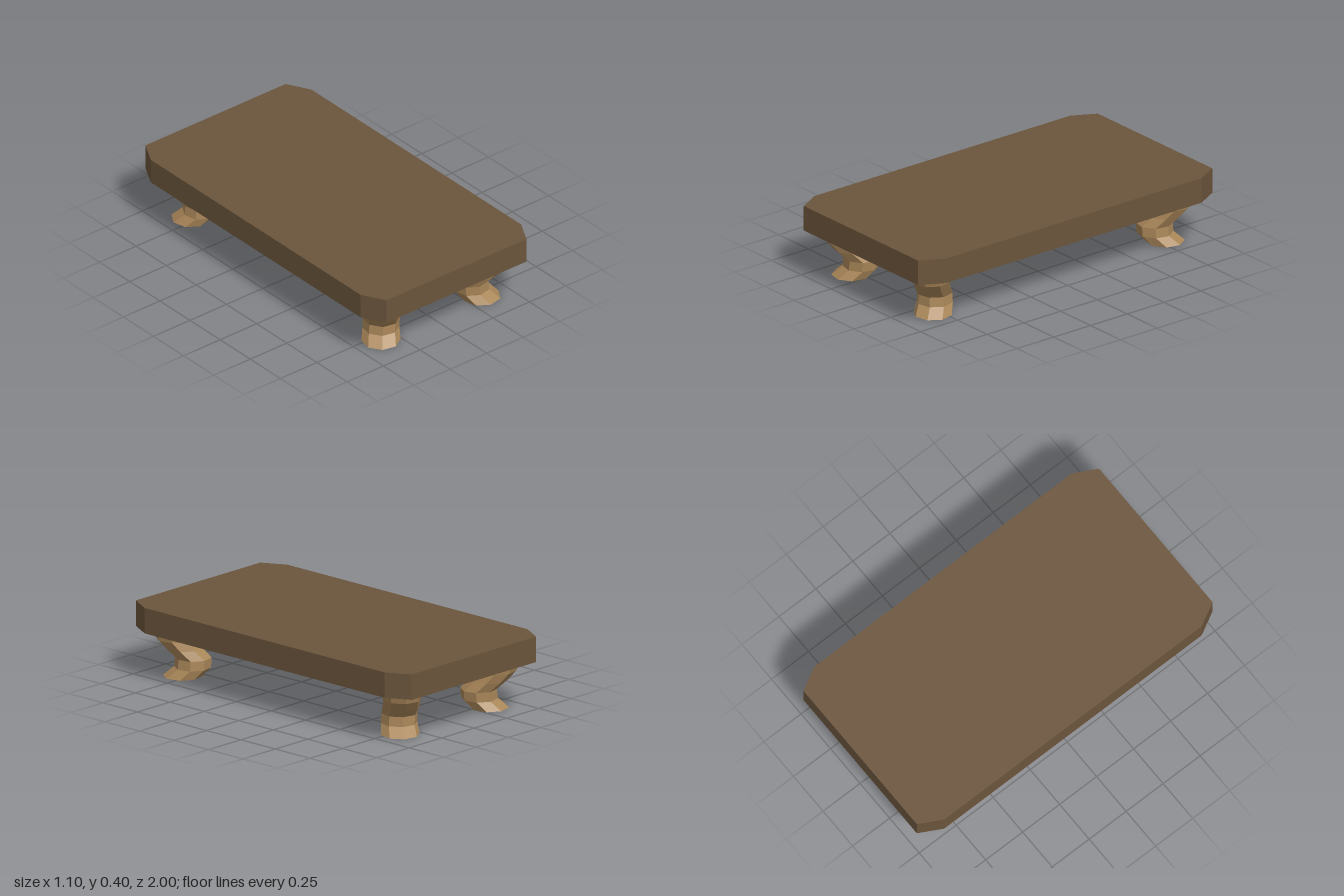
import * as THREE from 'three';

const topMaterial = new THREE.MeshStandardMaterial({ color: 0x6b553c, flatShading: true });
const legMaterial = new THREE.MeshStandardMaterial({ color: 0xaa8759, flatShading: true });

// Leg rings from the foot up: height, centre x, centre z, radius
const RINGS = [
  [0.0, 0.344, 0.79, 0.104],
  [0.05, 0.31, 0.748, 0.098],
  [0.103, 0.305, 0.747, 0.098],
  [0.155, 0.338, 0.79, 0.1],
  [0.205, 0.366, 0.822, 0.103],
  [0.262, 0.374, 0.832, 0.109],
];

// Slab with clipped corners
function createTop() {
  const outline = [
    [0.48, -1], [0.55, -0.87], [0.55, 0.87], [0.48, 1],
    [-0.48, 1], [-0.55, 0.87], [-0.55, -0.87], [-0.48, -1],
  ].map(([x, y]) => new THREE.Vector2(x, y));
  const geometry = new THREE.ExtrudeGeometry(new THREE.Shape(outline), { depth: 0.14, bevelEnabled: false });
  geometry.rotateX(-Math.PI / 2).translate(0, 0.26, 0);
  const mesh = new THREE.Mesh(geometry, topMaterial);
  mesh.name = 'tableTop';
  return mesh;
}

// Octagonal S-curved leg: each cylinder ring is moved to its place on the curve
function createLeg(sx, sz, name) {
  const levels = RINGS.length - 1;
  const twist = -sx * sz * THREE.MathUtils.degToRad(10);
  const geometry = new THREE.CylinderGeometry(1, 1, 1, 8, levels, false, twist);
  const p = geometry.attributes.position;
  for (let i = 0; i < p.count; i++) {
    const [y, cx, cz, r] = RINGS[Math.round((p.getY(i) + 0.5) * levels)];
    p.setXYZ(i, sx * cx + r * p.getX(i), y, sz * cz + r * p.getZ(i));
  }
  geometry.computeVertexNormals();
  const mesh = new THREE.Mesh(geometry, legMaterial);
  mesh.name = name;
  return mesh;
}

export function createModel() {
  const model = new THREE.Group();
  model.name = 'lowTable';
  model.add(createTop());
  for (const [sz, end] of [[1, 'front'], [-1, 'back']])
    for (const [sx, side] of [[1, 'Left'], [-1, 'Right']])
      model.add(createLeg(sx, sz, `${end}${side}Leg`));
  return model;
}
